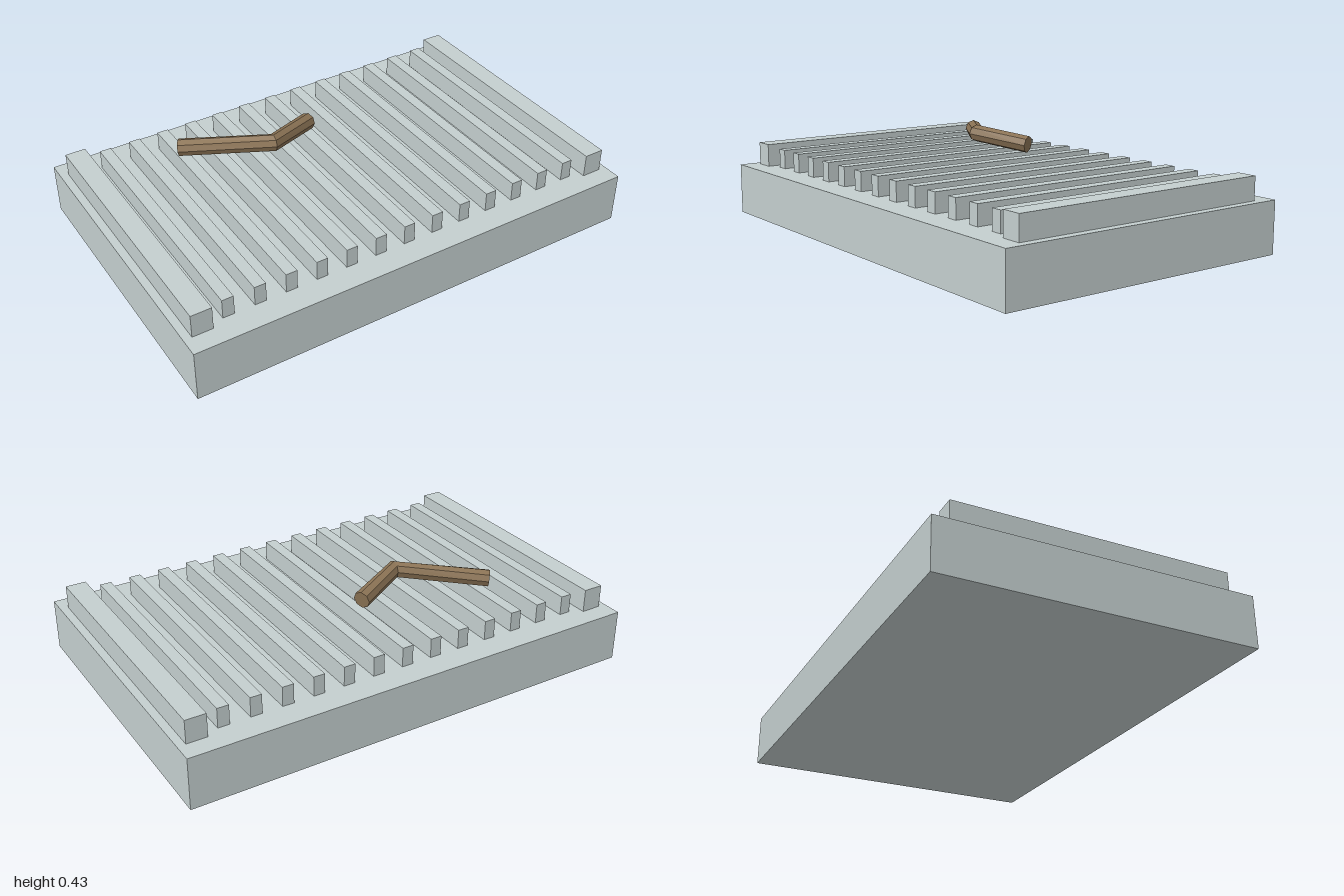
import * as THREE from 'three';

export function createModel() {
  const model = new THREE.Group();
  const stone = new THREE.MeshStandardMaterial({ color: 0xc4cfcf });
  stone.name = 'paleGreyStone';
  const wood = new THREE.MeshStandardMaterial({ color: 0x8b7355, flatShading: true });
  wood.name = 'brownWood';

  // Box standing on y0, centred on x and z = 0
  const slab = (name, x, y0, y1, width, depth) => {
    const mesh = new THREE.Mesh(new THREE.BoxGeometry(width, y1 - y0, depth), stone);
    mesh.position.set(x, (y0 + y1) / 2, 0);
    mesh.name = name;
    model.add(mesh);
  };

  slab('base', 0, 0, 0.222, 2, 1.332);
  for (const side of [-1, 1]) slab(side > 0 ? 'leftRail' : 'rightRail', side * 0.922, 0.222, 0.322, 0.087, 1.168);
  for (let i = -6; i <= 6; i++) slab('slat' + (i + 7), i * 0.1335, 0.222, 0.306, 0.049, 1.108);

  // Bent stick: one octagonal ring at each end and one at the bend
  const path = [
    new THREE.Vector3(-0.558, 0.358, -0.335),
    new THREE.Vector3(-0.228, 0.391, -0.113),
    new THREE.Vector3(0.002, 0.358, -0.221),
  ];
  const sides = 8, radius = 0.037;
  const up = new THREE.Vector3(0, 1, 0);
  const positions = [], index = [];
  path.forEach((p, i) => {
    const before = path[Math.max(i - 1, 0)], after = path[Math.min(i + 1, 2)];
    const dirIn = p.clone().sub(before).normalize(), dirOut = after.clone().sub(p).normalize();
    const tangent = dirIn.add(dirOut).normalize();
    const across = up.clone().cross(tangent).normalize();
    const lift = tangent.clone().cross(across);
    for (let k = 0; k < sides; k++) {
      const a = (k / sides) * Math.PI * 2;
      const v = p.clone().addScaledVector(across, radius * Math.cos(a)).addScaledVector(lift, radius * Math.sin(a));
      positions.push(v.x, v.y, v.z);
    }
  });
  for (let r = 0; r < 2; r++) {
    for (let k = 0; k < sides; k++) {
      const a = r * sides + k, b = r * sides + (k + 1) % sides;
      index.push(a, b, b + sides, a, b + sides, a + sides);
    }
  }
  // End caps
  for (let k = 1; k < sides - 1; k++) {
    index.push(0, k + 1, k);
    index.push(2 * sides, 2 * sides + k, 2 * sides + k + 1);
  }
  const geometry = new THREE.BufferGeometry();
  geometry.setAttribute('position', new THREE.Float32BufferAttribute(positions, 3));
  geometry.setIndex(index);
  const flat = geometry.toNonIndexed();
  flat.computeVertexNormals();
  const stick = new THREE.Mesh(flat, wood);
  stick.name = 'bentStick';
  model.add(stick);

  return model;
}
